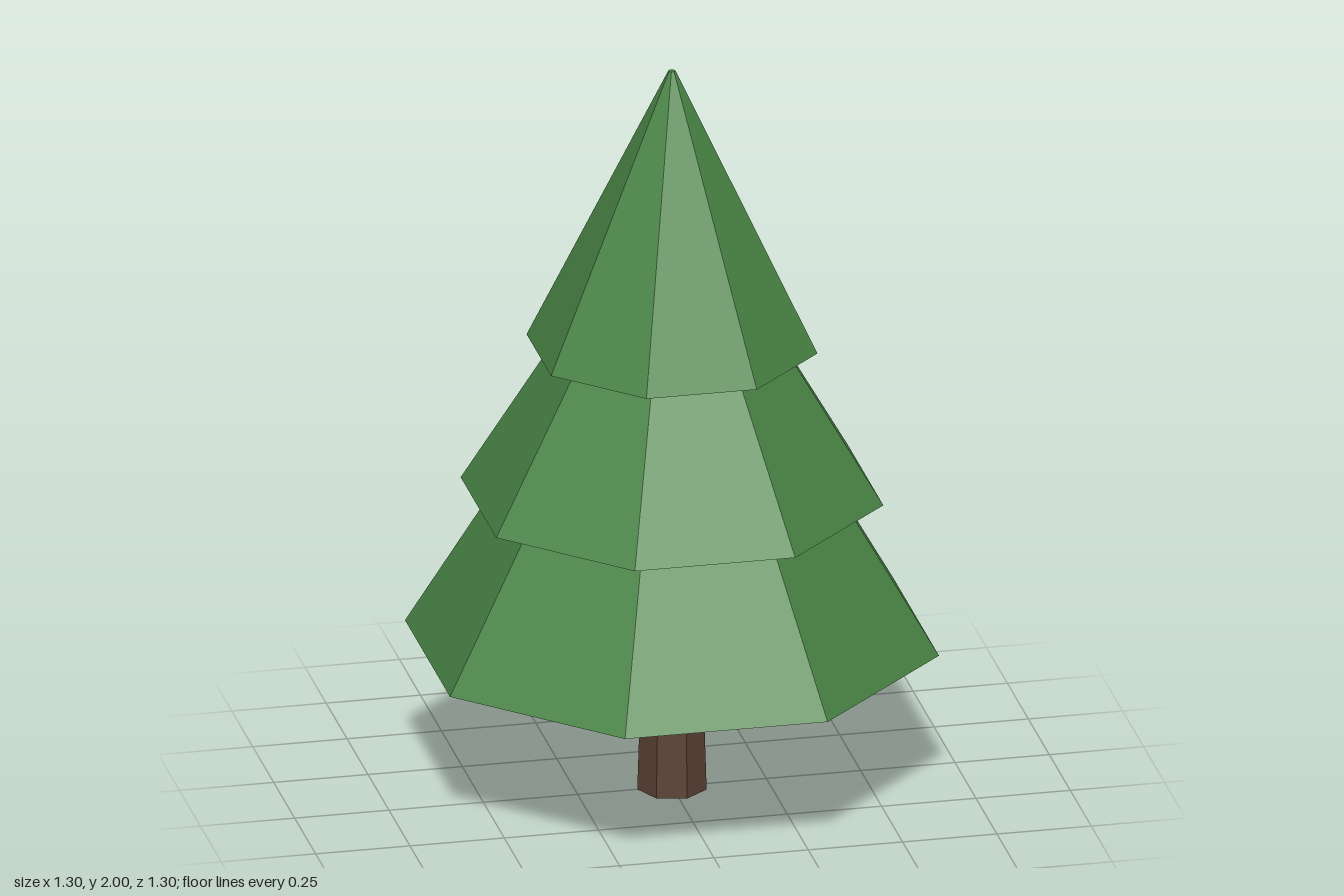
import * as THREE from 'three';

export function createModel() {
  const tree = new THREE.Group();
  tree.name = 'pineTree';

  const green = new THREE.MeshStandardMaterial({ color: 0x4a8546, flatShading: true });
  green.name = 'needleGreen';
  const brown = new THREE.MeshStandardMaterial({ color: 0x5c4336, flatShading: true });
  brown.name = 'barkBrown';

  // Tapered prism standing between two heights
  function taper(name, material, sides, rBottom, rTop, y0, y1, start) {
    const geometry = new THREE.CylinderGeometry(rTop, rBottom, y1 - y0, sides, 1, false, start);
    geometry.translate(0, (y0 + y1) / 2, 0);
    const mesh = new THREE.Mesh(geometry, material);
    mesh.name = name;
    tree.add(mesh);
  }

  // Seven-sided trunk with one corner towards the model's right
  taper('trunk', brown, 7, 0.092, 0.078, 0, 0.45, -Math.PI / 2);

  // Eight-sided foliage tiers, flat faces to the front; radii are given to the flats
  const toCorner = 1 / Math.cos(Math.PI / 8);
  const tiers = [
    ['lowerFoliage', 0.648, 0.32, 0.415, 1.0],
    ['middleFoliage', 0.513, 0.18, 0.825, 1.41],
    ['upperFoliage', 0.353, 0.009, 1.237, 2.0],
  ];
  for (const [name, rBottom, rTop, y0, y1] of tiers) {
    taper(name, green, 8, rBottom * toCorner, rTop * toCorner, y0, y1, Math.PI / 8);
  }

  return tree;
}
